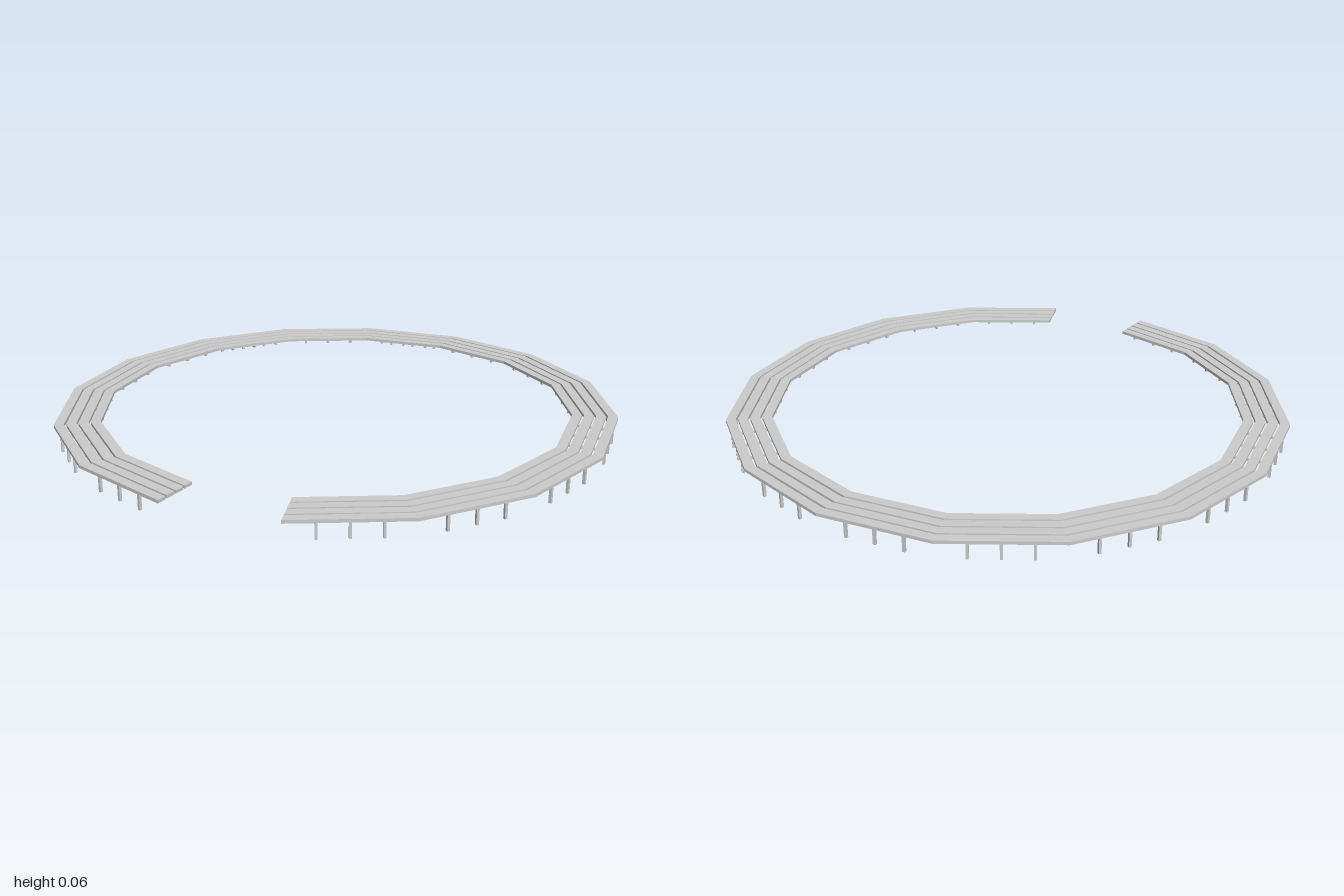
import * as THREE from 'three';

const SIDES = 16;               // full polygon; one side is left open at the front
const STEP = (Math.PI * 2) / SIDES;
const RADIUS = 0.998;
const CENTRE_Z = -0.003;

export function createModel() {
  const model = new THREE.Group();
  const material = new THREE.MeshStandardMaterial({ color: 0xcccccc, flatShading: true });

  function addBox(parent, name, size, position) {
    const mesh = new THREE.Mesh(new THREE.BoxGeometry(...size), material);
    mesh.name = name;
    mesh.position.set(...position);
    parent.add(mesh);
  }

  // Deck boards: four concentric, open polygon rings with narrow gaps
  const corner = (r, k) => new THREE.Vector2(-Math.sin(k * STEP) * r, -Math.cos(k * STEP) * r);
  const boardWidth = 0.034, pitch = 0.0415;
  for (let row = 0; row < 4; row++) {
    const outer = RADIUS - row * pitch;
    const points = [];
    for (let k = 0; k < SIDES; k++) points.push(corner(outer, k));
    for (let k = SIDES - 1; k >= 0; k--) points.push(corner(outer - boardWidth, k));
    const geometry = new THREE.ExtrudeGeometry(new THREE.Shape(points), { depth: 0.011, bevelEnabled: false });
    geometry.rotateX(-Math.PI / 2);
    const board = new THREE.Mesh(geometry, material);
    board.name = 'deckBoard' + (row + 1);
    board.position.y = 0.053;
    model.add(board);
  }

  // Supports: three cross beams per side, each on a post at the outer edge
  const chord = 2 * RADIUS * Math.sin(STEP / 2);
  for (let k = 0; k < SIDES - 1; k++) {
    const section = new THREE.Group();
    section.name = 'supportSection' + (k + 1);
    section.rotation.y = -(k + 0.5) * STEP;
    for (const t of [-0.25, 0, 0.25]) {
      const x = t * chord;
      addBox(section, 'crossBeam', [0.008, 0.008, 0.152], [x, 0.049, 0.9]);
      addBox(section, 'post', [0.009, 0.053, 0.009], [x, 0.0265, 0.972]);
    }
    model.add(section);
  }

  for (const part of model.children) part.position.z = CENTRE_Z;
  return model;
}
